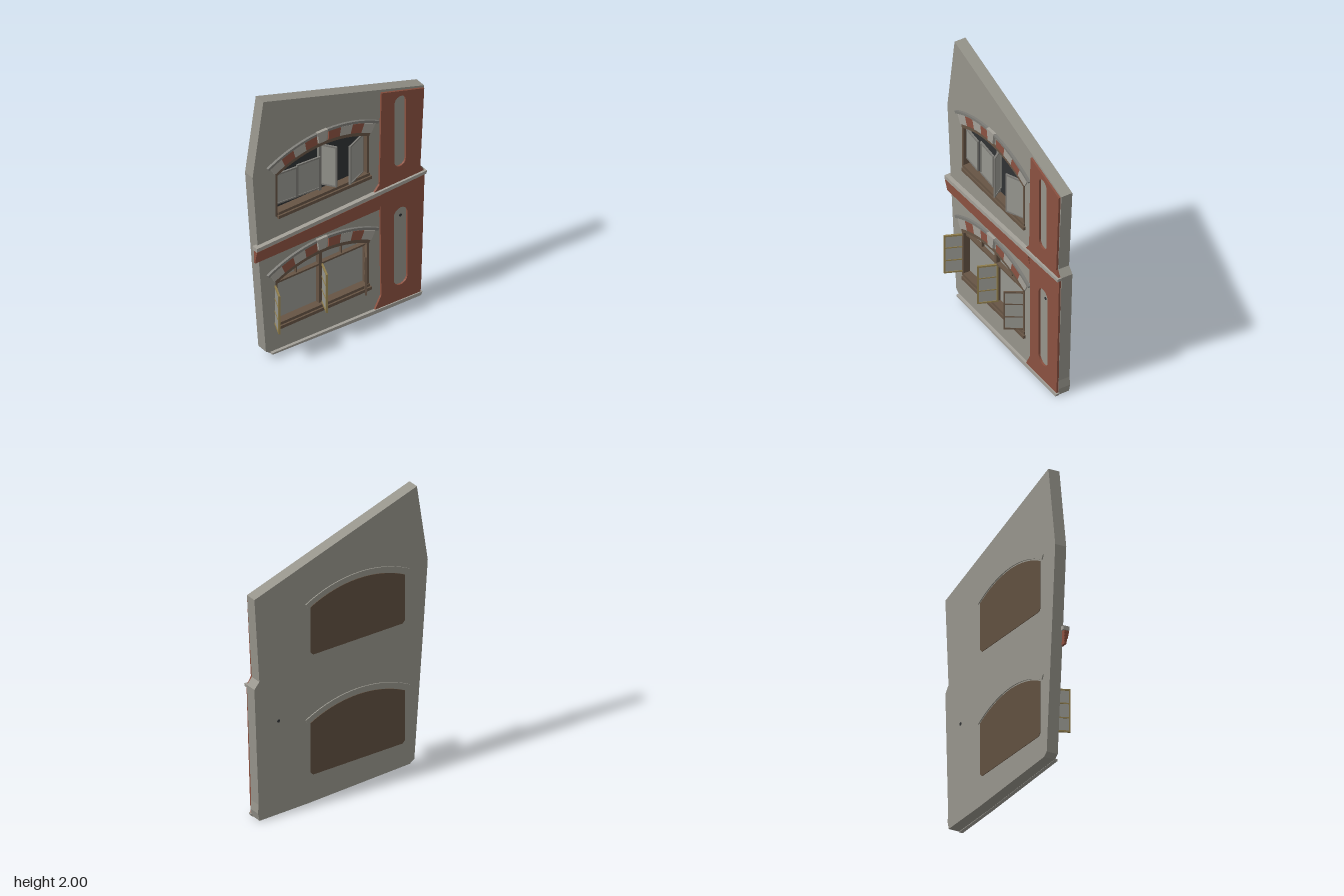
import * as THREE from 'three';

const flat = (name, color, side = THREE.FrontSide) => {
  const m = new THREE.MeshStandardMaterial({ color, side });
  m.name = name;
  return m;
};

export function createModel() {
  const model = new THREE.Group();
  model.name = 'facadeSection';
  const stone = flat('stone', 0x96948b);
  const paleStone = flat('paleStone', 0xa3a098);
  const brick = flat('redBrick', 0x8b5140);
  const wood = flat('brownWood', 0x665444);
  const darkWood = flat('darkWood', 0x604f3f);
  const olive = flat('oliveFrame', 0x8f7d4c);
  const greyFrame = flat('greyFrame', 0x7d7c77);
  const glass = flat('glass', 0x96968f, THREE.DoubleSide);
  const dark = flat('darkInterior', 0x303234);

  const toPoints = (pts) => pts.map(([x, y]) => new THREE.Vector2(x, y));

  // Extrudes an outline in the wall plane from z0 to z1
  function slab(name, pts, z0, z1, mat, holes = [], parent = model) {
    const shape = new THREE.Shape(toPoints(pts));
    holes.forEach((h) => shape.holes.push(new THREE.Path(toPoints(h))));
    const geo = new THREE.ExtrudeGeometry(shape, { depth: z1 - z0, bevelEnabled: false });
    geo.translate(0, 0, z0);
    const mesh = new THREE.Mesh(geo, mat);
    mesh.name = name;
    parent.add(mesh);
    return mesh;
  }
  const rect = (x0, y0, x1, y1) => [[x0, y0], [x1, y0], [x1, y1], [x0, y1]];

  // Arcs share one centre; angles are measured from the crown
  const CX = -0.13, CY = -0.125;
  const arc = (r, a0, a1, dy, n = 16) => Array.from({ length: n + 1 }, (_, i) => {
    const a = a0 + (a1 - a0) * i / n;
    return [CX + r * Math.sin(a), CY + dy + r * Math.cos(a)];
  });
  const ring = (r0, r1, a0, a1, dy, n) => [...arc(r0, a0, a1, dy, n), ...arc(r1, a1, a0, dy, n)];

  // Window outline with segmental arch, inset by t
  function opening(bottom, dy, t = 0) {
    const r = 0.79 - t, half = 0.362 - t, a = Math.asin(half / r);
    const b = bottom + t;
    return [[CX - half + 0.02, b], [CX + half - 0.02, b], [CX + half, b + 0.02],
      ...arc(r, a, -a, dy), [CX - half, b + 0.02]];
  }

  // Tall slot with round ends
  function slot(x0, x1, y0, y1) {
    const r = (x1 - x0) / 2, cx = (x0 + x1) / 2, pts = [];
    for (let i = 0; i <= 20; i++) {
      const upper = i <= 10, a = Math.PI * (upper ? i / 10 : (i - 1) / 9 - 10 / 9 + 1);
      pts.push([cx + r * Math.cos(a), (upper ? y1 - r : y0 + r) + r * Math.sin(a)]);
    }
    return pts;
  }

  // Casement from its hinge (x0,z0) to its free edge (x1,z1)
  function casement(name, x0, z0, x1, z1, y0, y1, mat, bars) {
    const g = new THREE.Group();
    g.name = name;
    const w = Math.hypot(x1 - x0, z1 - z0), h = y1 - y0, t = 0.011;
    slab('casementFrame', rect(0, 0, w, h), -0.006, 0.006, mat, [rect(t, t, w - t, h - t)], g);
    slab('casementGlass', rect(t, t, w - t, h - t), -0.002, 0.002, glass, [], g);
    for (let i = 1; i <= bars; i++) {
      const y = h * i / (bars + 1);
      slab('glazingBar', rect(t, y - 0.004, w - t, y + 0.004), -0.005, 0.005, mat, [], g);
    }
    g.position.set(x0, y0, z0);
    g.rotation.y = -Math.atan2(z1 - z0, x1 - x0);
    model.add(g);
  }

  // Main wall
  const storeys = [{ bottom: 0.205, dy: 0 }, { bottom: 1.06, dy: 0.825 }];
  slab('wall', [[-0.53, 0.04], [0.25, 0.01], [0.62, 0.005], [0.633, 0.06], [0.627, 0.12], [0.66, 0.95],
    [0.622, 0.995], [0.66, 1.59], [-0.585, 2], [-0.668, 1.45], [-0.63, 0.92], [-0.565, 0.065]],
  -0.095, -0.015, stone, storeys.map((s) => opening(s.bottom, s.dy)));

  // Window surrounds
  storeys.forEach(({ bottom, dy }, k) => {
    const outline = opening(bottom, dy);
    slab('backPanel', outline, -0.099, -0.091, darkWood);
    slab('windowBacking', outline, -0.091, k ? -0.085 : -0.06, k ? dark : glass);
    slab('windowRim', outline, -0.06, -0.012, wood, [opening(bottom, dy, 0.016)]);
    slab('archSoffit', ring(0.775, 0.8, -0.48, 0.48, dy), -0.05, -0.008, wood);
    slab('sill', rect(-0.478, bottom, 0.243, bottom + 0.022), -0.06, 0.002, wood);
    slab('upperSill', rect(-0.47, bottom + 0.025, 0.235, bottom + 0.045), -0.06, -0.006, wood);
    slab('hoodMould', ring(0.872, 0.89, -0.505, 0.505, dy, 24), -0.015, 0.002, greyFrame);
    slab('rearHood', ring(0.8, 0.835, -0.5, 0.5, dy, 24), -0.102, -0.094, stone);

    // Alternating arch stones around the keystone
    const step = 0.108;
    for (let i = -4; i <= 4; i++) {
      if (!i) continue;
      const a = i * step;
      slab('archStone', ring(0.8, 0.866, a - step / 2, a + step / 2, dy, 3),
        -0.015, -0.005, i % 2 ? brick : paleStone);
    }
    slab('keystone', [[-0.167, 0.685 + dy], [-0.112, 0.685 + dy], [-0.1, 0.768 + dy], [-0.18, 0.768 + dy]],
      -0.015, 0.006, paleStone);
  });

  // Lower window: transom, mullions and open casements
  slab('transom', rect(-0.475, 0.54, 0.222, 0.553), -0.06, -0.03, wood);
  slab('centreMullion', rect(-0.145, 0.245, -0.12, 0.657), -0.06, -0.03, wood);
  [-0.31, 0.04].forEach((x) => slab('transomBar', rect(x - 0.004, 0.55, x + 0.004, 0.642), -0.06, -0.04, wood));
  casement('leftCasement', -0.482, -0.04, -0.54, 0.093, 0.25, 0.545, olive, 2);
  casement('middleCasement', -0.115, -0.04, -0.166, 0.085, 0.25, 0.545, olive, 2);
  casement('rightCasement', 0.218, -0.035, 0.138, 0.083, 0.25, 0.545, wood, 2);

  // Upper window: two nearly shut sashes and two ajar
  casement('upperSashA', -0.475, -0.035, -0.318, -0.022, 1.15, 1.385, greyFrame, 0);
  casement('upperSashB', -0.312, -0.035, -0.14, -0.022, 1.14, 1.385, greyFrame, 0);
  casement('upperSashC', -0.115, -0.06, -0.05, 0.032, 1.14, 1.45, greyFrame, 0);
  casement('upperSashD', 0.205, -0.045, 0.06, 0.015, 1.1, 1.395, greyFrame, 0);
  slab('upperMullion', rect(-0.135, 1.1, -0.115, 1.48), -0.06, -0.04, greyFrame);

  // Brick pier with sunk slots
  slab('upperPier', [[0.265, 0.94], [0.65, 0.945], [0.62, 0.995], [0.65, 1.58], [0.32, 1.683], [0.305, 0.985]],
    -0.015, -0.001, brick, [slot(0.42, 0.507, 1.06, 1.6)]);
  slab('lowerPier', [[0.27, 0.035], [0.622, 0.025], [0.627, 0.12], [0.653, 0.93], [0.31, 0.915], [0.318, 0.125]],
    -0.015, -0.001, brick, [slot(0.415, 0.52, 0.145, 0.74)]);
  const vent = new THREE.Mesh(new THREE.CylinderGeometry(0.011, 0.011, 0.084, 12), dark);
  vent.name = 'vent';
  vent.rotation.x = Math.PI / 2;
  vent.position.set(0.475, 0.67, -0.055);
  model.add(vent);

  // String course: stepped brick rows under a sloping ledge
  const rows = 5;
  for (let i = 0; i < rows; i++) {
    const l = (f) => 0.79 + 0.095 * f, r = (f) => 0.79 + 0.125 * f;
    const a = i / rows, b = (i + 0.85) / rows;
    slab('brickCourse', [[-0.655, l(a)], [0.31, r(a)], [0.31, r(b)], [-0.655, l(b)]],
      -0.02, -0.004 + i * 0.004, brick);
  }
  slab('courseBacking', [[-0.65, 0.79], [0.305, 0.79], [0.305, 0.915], [-0.65, 0.885]], -0.02, -0.007, brick);
  slab('courseLedge', [[-0.657, 0.885], [0.31, 0.915], [0.657, 0.928], [0.66, 0.95], [0.3, 0.942], [-0.657, 0.912]],
    -0.03, 0.014, paleStone);

  // Base strip
  slab('baseStrip', [[-0.53, 0.038], [0.25, 0.008], [0.62, 0], [0.632, 0.024], [0.26, 0.034], [-0.53, 0.05]],
    -0.02, 0.006, paleStone);

  return model;
}
